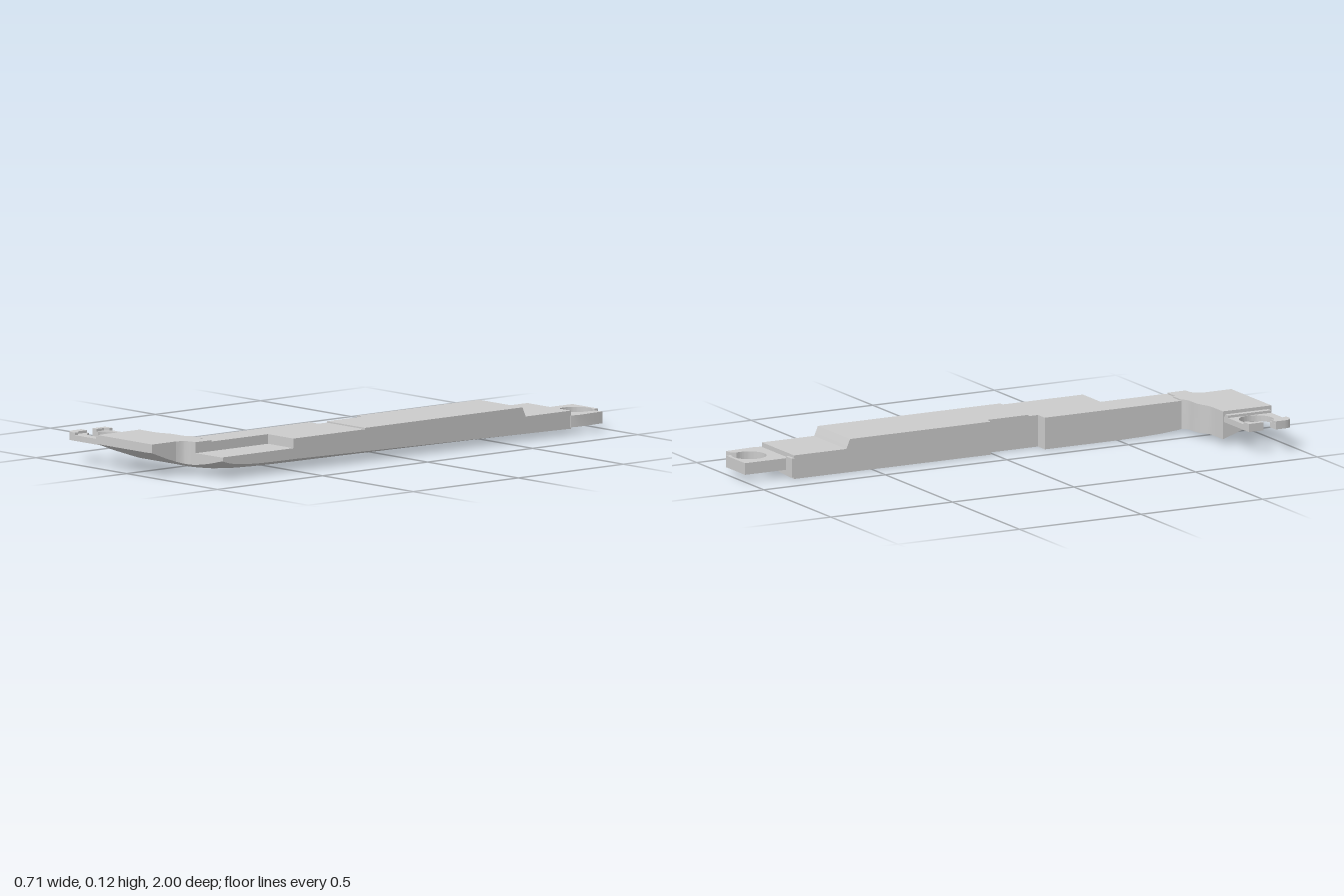
import * as THREE from 'three';
import { toCreasedNormals } from 'three/addons/utils/BufferGeometryUtils.js';

const material = new THREE.MeshStandardMaterial({ color: 0xcccccc });

// Piecewise linear profile through [position, value] pairs
const profile = (points) => (t) => {
  for (let i = 1; i < points.length; i++) {
    const [a, va] = points[i - 1], [b, vb] = points[i];
    if (t <= b) return va + (vb - va) * Math.max(0, (t - a) / (b - a));
  }
  return points[points.length - 1][1];
};
const asRule = (v) => (typeof v === 'function' ? v : () => v);

// Curved underside: sweeps up to the front and towards the outer (+x) edge
const keel = profile([[-0.82, 0.003], [0.5, 0.003], [0.6, 0.005], [0.68, 0.008], [0.75, 0.014],
  [0.8, 0.022], [0.85, 0.038], [0.93, 0.065], [1, 0.092]]);
const edgeLift = profile([[-0.82, 0.021], [0, 0.034], [0.5, 0.042], [0.84, 0.036]]);
const underside = (x, z) => keel(z) + edgeLift(z) * Math.max(0, (x - 0.1) / 0.24) ** 2;

export function createModel() {
  const model = new THREE.Group();

  const add = (name, geometry) => {
    const mesh = new THREE.Mesh(geometry, material);
    mesh.name = name;
    model.add(mesh);
  };

  // Block whose z limits follow x, whose top follows z and whose bottom follows the underside
  const block = (name, x0, x1, z0, z1, top) => {
    const back = asRule(z0), front = asRule(z1), topAt = asRule(top);
    const geometry = new THREE.BoxGeometry(1, 1, 1, 16, 1, 24);
    const p = geometry.attributes.position;
    for (let i = 0; i < p.count; i++) {
      const x = x0 + (x1 - x0) * (p.getX(i) + 0.5);
      const z = back(x) + (front(x) - back(x)) * (p.getZ(i) + 0.5);
      p.setXYZ(i, x, p.getY(i) > 0 ? topAt(z) : underside(x, z), z);
    }
    add(name, toCreasedNormals(geometry, 0.5));
  };

  // Flat plate from a plan shape in (x, z)
  const plate = (name, shape, y0, y1) => {
    const geometry = new THREE.ExtrudeGeometry(shape, { depth: y1 - y0, bevelEnabled: false, curveSegments: 40 });
    geometry.rotateX(Math.PI / 2).translate(0, y1, 0);
    add(name, toCreasedNormals(geometry, 0.5));
  };

  const box = (name, x0, x1, y0, y1, z0, z1) => {
    const geometry = new THREE.BoxGeometry(x1 - x0, y1 - y0, z1 - z0);
    add(name, geometry.translate((x0 + x1) / 2, (y0 + y1) / 2, (z0 + z1) / 2));
  };

  // Long bar, from back to front
  block('backStep', 0.1, 0.34, -0.82, -0.605, 0.09);
  block('stepRamp', 0.1, 0.34, -0.605, -0.59, profile([[-0.605, 0.09], [-0.59, 0.125]]));
  block('backBar', 0.1, 0.34, -0.59, -0.01, 0.125);
  block('waist', 0.13, 0.34, -0.01, 0.16, 0.125);
  block('waistFront', 0.13, 0.34, 0.16, 0.2, 0.12);
  block('frontBar', 0.08, 0.34, 0.2, 0.5, 0.12);
  block('pocketWall', 0.08, 0.2, 0.5, 0.77, 0.12);
  block('pocketFloor', 0.2, 0.34, 0.5, profile([[0.2, 0.845], [0.33, 0.842], [0.34, 0.835]]), 0.085);

  // Foot reaching sideways, with filleted inner corners
  const footBack = profile([[-0.16, 0.8], [-0.07, 0.8], [-0.045, 0.792], [-0.02, 0.782], [0, 0.778],
    [0.055, 0.777], [0.07, 0.772], [0.08, 0.76]]);
  block('foot', -0.16, 0.14, footBack, 1, 0.125);
  const fillet = profile([[0.14, 0.885], [0.145, 0.87], [0.153, 0.858], [0.167, 0.849], [0.18, 0.846], [0.2, 0.845]]);
  block('footFillet', 0.14, 0.2, 0.77, fillet, 0.125);

  // Back mounting tab with an open round hole
  const tab = new THREE.Shape();
  tab.moveTo(0.14, -0.815);
  tab.lineTo(0.14, -1);
  tab.lineTo(0.28, -1);
  tab.lineTo(0.28, -0.983);
  tab.absarc(0.245, -0.925, 0.063, -1.1, -0.3 - Math.PI * 2, true);
  tab.lineTo(0.318, -0.962);
  tab.lineTo(0.345, -0.966);
  tab.lineTo(0.352, -0.85);
  tab.lineTo(0.345, -0.815);
  plate('backTab', tab, 0.03, 0.073);
  box('backLip', 0.095, 0.14, 0.01, 0.08, -0.832, -0.82);

  // Front clip: thin open ring with raised ends
  const clip = new THREE.Shape();
  clip.moveTo(-0.155, 0.805);
  clip.lineTo(-0.345, 0.805);
  clip.lineTo(-0.345, 0.865);
  clip.absarc(-0.255, 0.885, 0.063, Math.PI + 0.32, Math.PI * 3 - 0.38, false);
  clip.lineTo(-0.355, 0.91);
  clip.lineTo(-0.355, 0.95);
  clip.quadraticCurveTo(-0.352, 0.98, -0.325, 0.982);
  clip.lineTo(-0.155, 0.982);
  plate('clipRing', clip, 0.085, 0.106);

  const nearPad = new THREE.Shape();
  nearPad.moveTo(-0.322, 0.91);
  nearPad.lineTo(-0.355, 0.91);
  nearPad.lineTo(-0.355, 0.95);
  nearPad.quadraticCurveTo(-0.352, 0.98, -0.325, 0.982);
  nearPad.lineTo(-0.305, 0.982);
  nearPad.lineTo(-0.305, 0.968);
  nearPad.lineTo(-0.322, 0.955);
  plate('clipFrontPad', nearPad, 0.1, 0.115);

  const farPad = new THREE.Shape();
  farPad.moveTo(-0.345, 0.805);
  farPad.lineTo(-0.305, 0.805);
  farPad.lineTo(-0.305, 0.818);
  farPad.lineTo(-0.322, 0.83);
  farPad.lineTo(-0.322, 0.865);
  farPad.lineTo(-0.345, 0.865);
  plate('clipBackPad', farPad, 0.1, 0.115);

  box('clipRail', -0.19, -0.168, 0.1, 0.115, 0.805, 0.982);
  return model;
}
